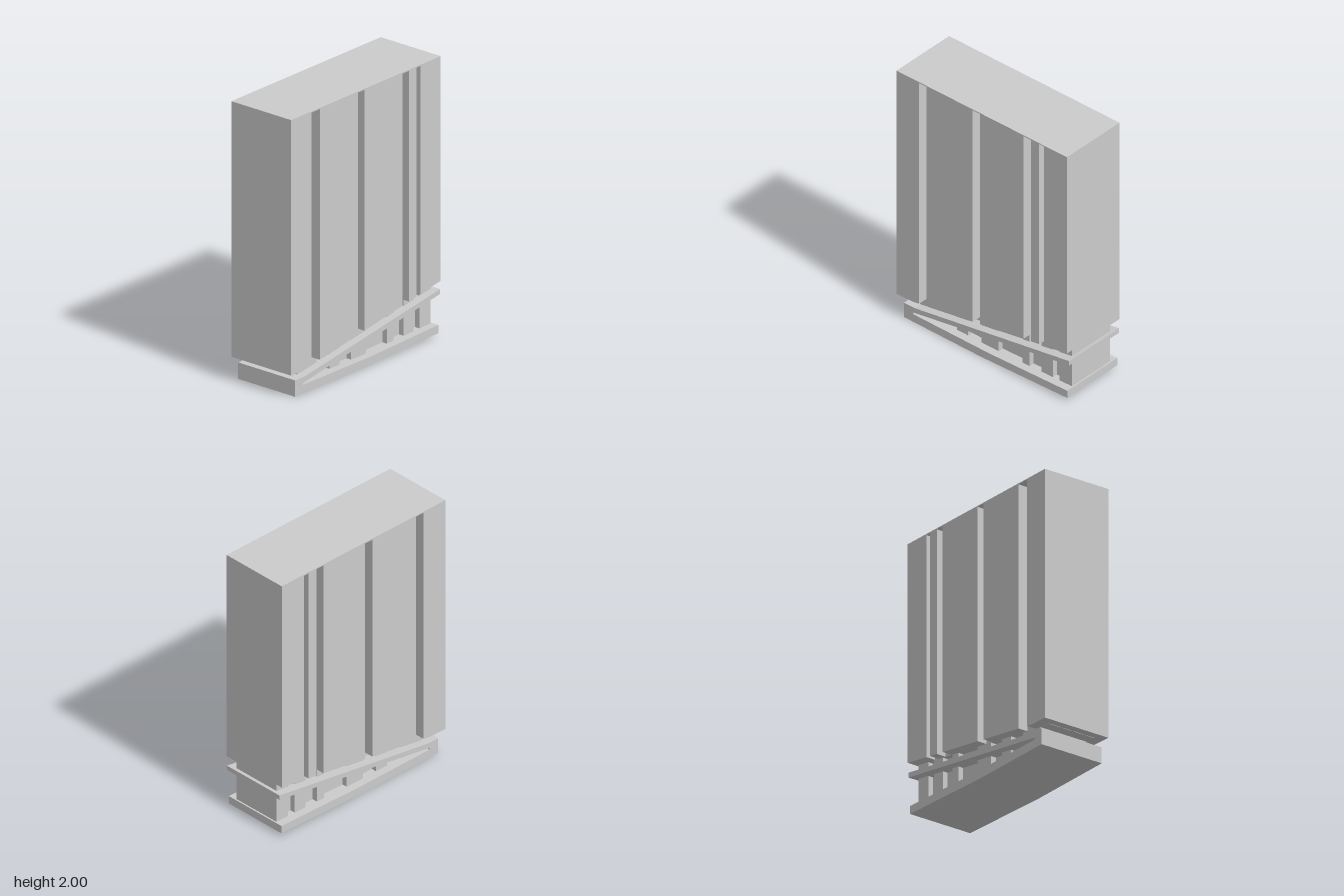
import * as THREE from 'three';

const material = new THREE.MeshStandardMaterial({ color: 0xcccccc, flatShading: true });

// Extrude a side profile of [z, y] points across the width, from -half to +half in x
function acrossWidth(name, profile, half) {
  const shape = new THREE.Shape(profile.map(([z, y]) => new THREE.Vector2(z, y)));
  const geometry = new THREE.ExtrudeGeometry(shape, { depth: 2 * half, bevelEnabled: false });
  geometry.rotateY(-Math.PI / 2);
  geometry.translate(half, 0, 0);
  const mesh = new THREE.Mesh(geometry, material);
  mesh.name = name;
  return mesh;
}

const FRONT = 0.76, BACK = -0.75, KINK = 0.61;
// Underside of the tower: level at the front, then rising to the back
const underside = z => z > KINK ? 0.17 : 0.175 + (KINK - z) * 0.1655;
const roofTop = z => 1.99 + (FRONT - z) / (FRONT - BACK) * 0.01;

// Side profile of a stretch of tower between two depths
function towerProfile(z0, z1, drop) {
  const points = [[z1, underside(z1)]];
  if (z0 > KINK && z1 < KINK) points.push([KINK, underside(KINK)]);
  points.push([z0, underside(z0)], [z0, roofTop(z0) - drop], [z1, roofTop(z1) - drop]);
  return points;
}

export function createModel() {
  const model = new THREE.Group();
  model.name = 'slabTower';

  // Tower: recessed core, wide wall panels with grooves between, thin roof over all
  const tower = new THREE.Group();
  tower.name = 'tower';
  tower.add(acrossWidth('towerCore', towerProfile(0.7, -0.7, 0.007), 0.19));
  const panels = [[FRONT, 0.56], [0.47, 0.085], [0.02, -0.365], [-0.43, -0.505], [-0.545, BACK]];
  panels.forEach(([z0, z1]) => tower.add(acrossWidth('wallPanel', towerProfile(z0, z1, 0.004), 0.263)));
  tower.add(acrossWidth('roof', [
    [BACK, roofTop(BACK) - 0.008], [FRONT, roofTop(FRONT) - 0.008],
    [FRONT, roofTop(FRONT)], [BACK, roofTop(BACK)],
  ], 0.263));
  model.add(tower);

  // Base plate and ramp slab, joined at the front in a narrow wedge
  model.add(acrossWidth('baseAndRamp', [
    [0.705, 0], [0.02, 0], [-0.742, 0.027], [-0.742, 0.085], [-0.05, 0.062], [0.625, 0.062],
    [0.625, 0.075], [0.6, 0.08], [-0.759, 0.3], [-0.759, 0.335], [0.61, 0.117], [0.705, 0.117],
  ], 0.25));

  // Recessed storey: inner core with alternating piers, passing through the ramp
  const storey = new THREE.Group();
  storey.name = 'recessedStorey';
  const pierProfile = (z0, z1) => [
    [z1, 0.05], [z0, 0.05], [z0, underside(z0) + 0.01], [z1, underside(z1) + 0.01],
  ];
  storey.add(acrossWidth('storeyCore', pierProfile(0.6, -0.72), 0.15));
  const piers = [[0.615, 0.42], [0.29, 0.19], [0.07, -0.08], [-0.29, -0.355],
    [-0.46, -0.56], [-0.62, -0.73]];
  piers.forEach(([z0, z1]) => storey.add(acrossWidth('pier', pierProfile(z0, z1), 0.19)));
  model.add(storey);

  return model;
}
